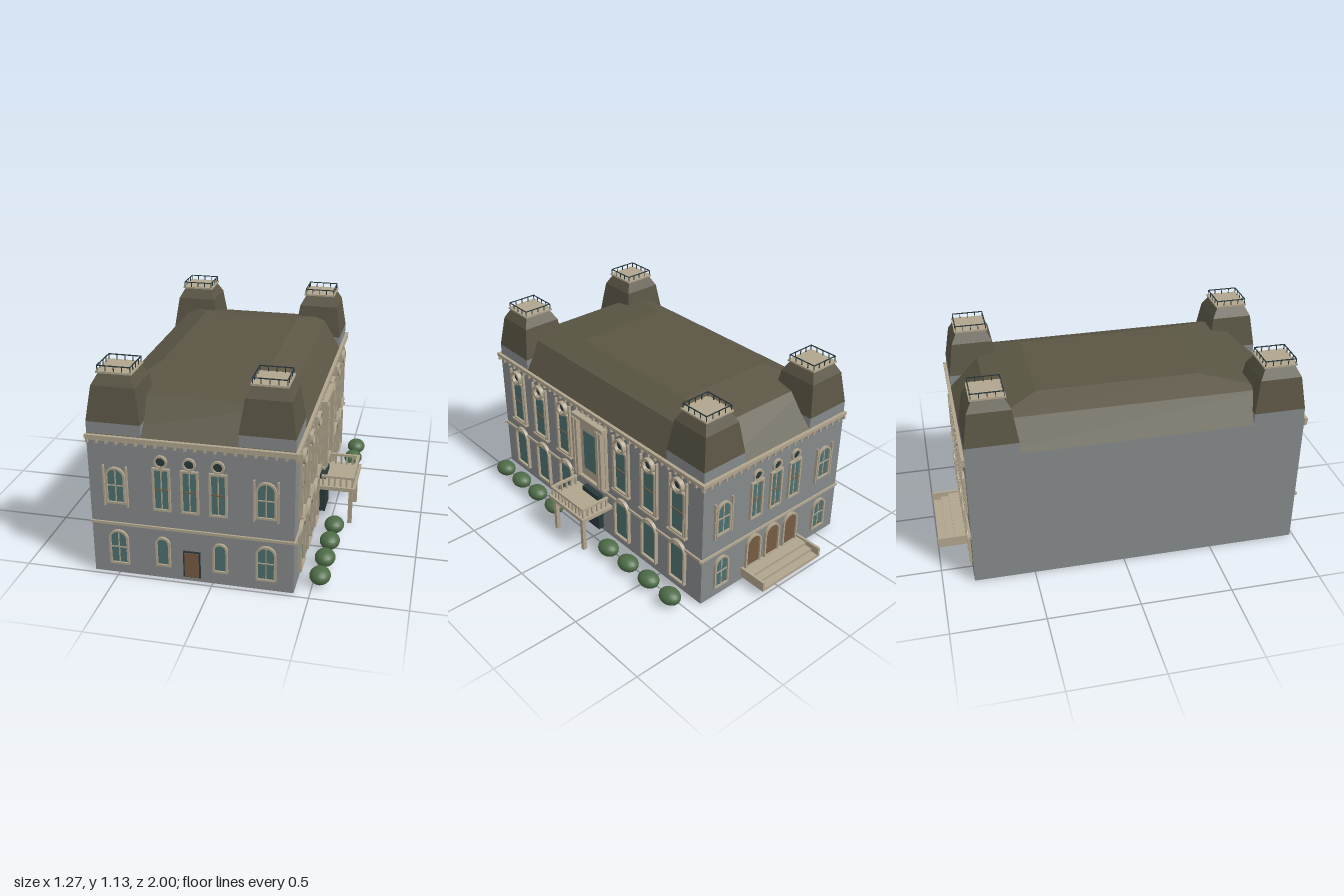
import * as THREE from 'three';

const mat = (name, color) => {
  const m = new THREE.MeshStandardMaterial({ color });
  m.name = name;
  return m;
};

export function createModel() {
  const wall = mat('grey wall', 0x86898b);
  const trim = mat('stone trim', 0xb0a58e);
  const roof = mat('slate roof', 0x5a5544);
  const glass = mat('window glass', 0x4e706f);
  const dark = mat('dark metal', 0x2a393b);
  const wood = mat('brown wood', 0x775b43);
  const leaf = mat('bush green', 0x4d6b46);

  const model = new THREE.Group();
  model.name = 'mansion';
  const group = (name, parent = model) => {
    const g = new THREE.Group();
    g.name = name;
    parent.add(g);
    return g;
  };
  const add = (parent, name, geo, material) => {
    const m = new THREE.Mesh(geo, material);
    m.name = name;
    parent.add(m);
    return m;
  };
  // Box given by its limits on each axis
  const box = (parent, name, material, x0, x1, y0, y1, z0, z1) => {
    const geo = new THREE.BoxGeometry(x1 - x0, y1 - y0, z1 - z0);
    geo.translate((x0 + x1) / 2, (y0 + y1) / 2, (z0 + z1) / 2);
    return add(parent, name, geo, material);
  };
  // Tapered block between two rectangles [x0, x1, z0, z1]
  const taper = (parent, name, material, a, y0, b, y1) => {
    const geo = new THREE.BoxGeometry(1, 1, 1).toNonIndexed();
    const p = geo.attributes.position;
    for (let i = 0; i < p.count; i++) {
      const up = p.getY(i) > 0, r = up ? b : a;
      p.setXYZ(i, p.getX(i) < 0 ? r[0] : r[1], up ? y1 : y0, p.getZ(i) < 0 ? r[2] : r[3]);
    }
    geo.computeVertexNormals();
    return add(parent, name, geo, material);
  };
  const square = (x, z, h) => [x - h, x + h, z - h, z + h];

  // Outline with a flat or round head
  const outline = (u, w, y0, y1, arched, C = THREE.Shape) => {
    const s = new C(), h = w / 2;
    s.moveTo(u - h, y0);
    s.lineTo(u + h, y0);
    if (arched) s.absarc(u, y1 - h, h, 0, Math.PI, false);
    else s.lineTo(u + h, y1).lineTo(u - h, y1);
    s.closePath();
    return s;
  };
  const extrude = (s, depth) => new THREE.ExtrudeGeometry(s, { depth, bevelEnabled: false, curveSegments: 12 });

  // Framed opening: a pane behind a raised surround, on a wall facing local +z
  const opening = (f, name, u, w, y0, y1, { arched = false, pane = glass, edge = 0.011, depth = 0.014, cross = false, bar = 0 } = {}) => {
    const g = group(name, f);
    const s = outline(u, w, y0, y1, arched);
    const iw = w - 2 * edge;
    s.holes.push(outline(u, iw, y0 + edge, y1 - edge, arched, THREE.Path));
    add(g, 'surround', extrude(s, depth), trim);
    add(g, 'pane', extrude(outline(u, iw, y0 + edge, y1 - edge, arched), 0.005), pane);
    const mid = y0 + (y1 - y0) * 0.5;
    if (cross) {
      box(g, 'mullion', trim, u - 0.003, u + 0.003, y0 + edge, y1 - edge, 0.004, 0.009);
      if (!bar) box(g, 'transom', trim, u - iw / 2, u + iw / 2, mid - 0.003, mid + 0.003, 0.004, 0.009);
    }
    if (bar) box(g, 'woodBar', wood, u - iw / 2, u + iw / 2, mid - 0.003, mid + 0.003, 0.004, 0.01);
    return g;
  };
  const roundWindow = (f, u, y, r, depth) => {
    const g = group('roundWindow', f);
    const s = new THREE.Shape().absarc(u, y, r, 0, Math.PI * 2, false);
    s.holes.push(new THREE.Path().absarc(u, y, r * 0.7, 0, Math.PI * 2, true));
    add(g, 'ring', extrude(s, depth), trim);
    add(g, 'pane', extrude(new THREE.Shape().absarc(u, y, r * 0.7, 0, Math.PI * 2, false), 0.006), dark);
  };
  const cornice = (f, u0, u1) => {
    box(f, 'cornice', trim, u0, u1, 0.77, 0.788, 0, 0.018);
    box(f, 'frieze', trim, u0, u1, 0.757, 0.77, 0, 0.008);
    box(f, 'stringCourse', trim, u0, u1, 0.29, 0.304, 0, 0.01);
    const n = Math.round((u1 - u0) / 0.052);
    for (let i = 0; i <= n; i++) {
      const u = u0 + 0.01 + (u1 - u0 - 0.02) * i / n;
      box(f, 'bracket', trim, u - 0.006, u + 0.006, 0.745, 0.77, 0, 0.016);
    }
  };

  // Body and mansard roof
  box(model, 'walls', wall, -0.63, 0.42, 0.005, 0.785, -0.83, 0.98);
  const brk = [-0.54, 0.325, -0.67, 0.81];
  taper(model, 'lowerRoof', roof, [-0.63, 0.42, -0.83, 0.98], 0.785, brk, 0.945);
  taper(model, 'upperRoof', roof, brk, 0.945, [-0.39, 0.18, -0.42, 0.45], 1.0);

  // Corner towers with railed platforms
  for (const x of [-0.49, 0.28]) for (const z of [-0.69, 0.835]) {
    const t = group('tower');
    box(t, 'towerBase', wall, x - 0.14, x + 0.14, 0.78, 0.85, z - 0.14, z + 0.14);
    taper(t, 'towerRoof', roof, square(x, z, 0.14), 0.85, square(x, z, 0.113), 1.03);
    taper(t, 'towerCap', roof, square(x, z, 0.113), 1.03, square(x, z, 0.08), 1.09);
    box(t, 'platform', trim, x - 0.092, x + 0.092, 1.088, 1.098, z - 0.092, z + 0.092);
    const r = 0.084, e = 0.002;
    for (const s of [-1, 1]) {
      box(t, 'rail', dark, x - r, x + r, 1.123, 1.128, z + s * r - e, z + s * r + e);
      box(t, 'rail', dark, x + s * r - e, x + s * r + e, 1.123, 1.128, z - r, z + r);
      for (let i = 0; i <= 4; i++) {
        const o = -r + r * i / 2;
        box(t, 'railPost', dark, x + o - e, x + o + e, 1.098, 1.125, z + s * r - e, z + s * r + e);
        box(t, 'railPost', dark, x + s * r - e, x + s * r + e, 1.098, 1.125, z + o - e, z + o + e);
      }
    }
  }

  // Front and back facades, sharing corner and upper windows
  const endFacade = (name, z, turn, dir) => {
    const f = group(name);
    f.position.z = z;
    f.rotation.y = turn;
    cornice(f, dir > 0 ? -0.635 : -0.438, dir > 0 ? 0.438 : 0.635);
    for (const x of [-0.49, 0.28]) {
      const u = x * dir;
      opening(f, 'upperCornerWindow', u, 0.104, 0.415, 0.618, { arched: true, cross: true });
      for (const s of [-1, 1]) box(f, 'pilaster', trim, u + s * 0.06 - 0.004, u + s * 0.06 + 0.004, 0.4, 0.625, 0, 0.014);
      opening(f, 'lowerCornerWindow', u, 0.104, 0.062, 0.262, { arched: true, cross: true });
    }
    for (const x of [-0.25, -0.105, 0.04]) {
      opening(f, 'upperWindow', x * dir, 0.092, 0.4, 0.637, { cross: true, bar: 1 });
      roundWindow(f, x * dir, 0.672, 0.034, 0.014);
    }
    return f;
  };
  const front = endFacade('frontFacade', 0.98, 0, 1);
  for (const x of [-0.255, 0.045]) opening(front, 'lowerWindow', x, 0.078, 0.078, 0.247, { arched: true });
  box(front, 'doorFrame', dark, -0.15, -0.06, 0.03, 0.18, 0, 0.008);
  box(front, 'door', wood, -0.142, -0.068, 0.034, 0.173, 0, 0.012);

  const back = endFacade('backFacade', -0.83, Math.PI, -1);
  for (const x of [-0.25, -0.105, 0.04]) opening(back, 'archedDoor', -x, 0.115, 0.07, 0.28, { arched: true, pane: wood });

  // Back steps between low side walls
  const steps = group('steps');
  for (const x of [-0.335, 0.108]) box(steps, 'sideWall', trim, x, x + 0.015, 0.03, 0.088, -1, -0.83);
  for (let i = 0; i < 3; i++) {
    const z = -0.995 + i * 0.045, y = 0.04 + i * 0.018;
    box(steps, 'tread', trim, -0.325, 0.112, y - 0.01, y, z, i === 2 ? -0.83 : z + 0.047);
    box(steps, 'riser', trim, -0.325, 0.112, y - 0.018, y, z, z + 0.006);
  }

  // Long right facade: u runs along -z
  const side = group('sideFacade');
  side.position.x = 0.42;
  side.rotation.y = Math.PI / 2;
  cornice(side, -0.995, 0.845);
  for (const z of [0.806, 0.576, 0.34, -0.185, -0.42, -0.65]) {
    const u = -z;
    opening(side, 'sideUpperWindow', u, 0.118, 0.385, 0.665, { depth: 0.02, bar: 1 });
    roundWindow(side, u, 0.69, 0.044, 0.026);
    for (const s of [-1, 1]) box(side, 'pilaster', trim, u + s * 0.064 - 0.005, u + s * 0.064 + 0.005, 0.38, 0.73, 0, 0.016);
    box(side, 'sill', trim, u - 0.072, u + 0.072, 0.375, 0.387, 0, 0.026);
    opening(side, 'sideLowerWindow', u, 0.128, 0.06, 0.333, { arched: true, depth: 0.02 });
  }

  // Central bay above the entrance
  const bay = group('centralBay', side), c = -0.075;
  box(bay, 'bayPanel', trim, c - 0.135, c + 0.135, 0.33, 0.735, 0, 0.02);
  for (const s of [-1, 1]) for (const o of [0.122, 0.095])
    box(bay, 'bayPilaster', trim, c + s * o - 0.009, c + s * o + 0.009, 0.335, 0.715, 0.01, 0.048);
  box(bay, 'bayHood', trim, c - 0.14, c + 0.14, 0.715, 0.737, 0, 0.04);
  box(bay, 'baySill', trim, c - 0.14, c + 0.14, 0.325, 0.34, 0, 0.04);
  box(bay, 'bayWindow', glass, c - 0.052, c + 0.052, 0.4, 0.65, 0.015, 0.026);
  box(bay, 'entranceDoor', dark, c - 0.073, c + 0.073, 0.025, 0.262, 0, 0.035);

  // Balcony on two posts
  const balcony = group('balcony', side);
  box(balcony, 'floor', trim, c - 0.162, c + 0.162, 0.21, 0.232, 0, 0.212);
  for (const s of [-1, 1]) {
    const u = c + s * 0.128;
    box(balcony, 'post', trim, u - 0.011, u + 0.011, 0, 0.215, 0.175, 0.198);
    const e = c + s * 0.145;
    box(balcony, 'sideRail', trim, e - 0.008, e + 0.008, 0.282, 0.295, 0.02, 0.203);
    for (let i = 0; i < 6; i++) {
      const z = 0.03 + i * 0.033;
      box(balcony, 'baluster', trim, e - 0.005, e + 0.005, 0.23, 0.285, z - 0.005, z + 0.005);
    }
  }
  box(balcony, 'frontRail', trim, c - 0.153, c + 0.153, 0.282, 0.295, 0.187, 0.203);
  for (let i = 0; i <= 9; i++) {
    const u = c - 0.145 + i * 0.29 / 9;
    box(balcony, 'baluster', trim, u - 0.005, u + 0.005, 0.23, 0.285, 0.19, 0.2);
  }

  // Row of bushes
  for (const z of [0.86, 0.685, 0.51, 0.335, -0.19, -0.365, -0.54, -0.715]) {
    const b = add(model, 'bush', new THREE.SphereGeometry(1, 18, 12), leaf);
    b.scale.set(0.055, 0.043, 0.066);
    b.position.set(0.536, 0.052, z);
  }
  return model;
}
